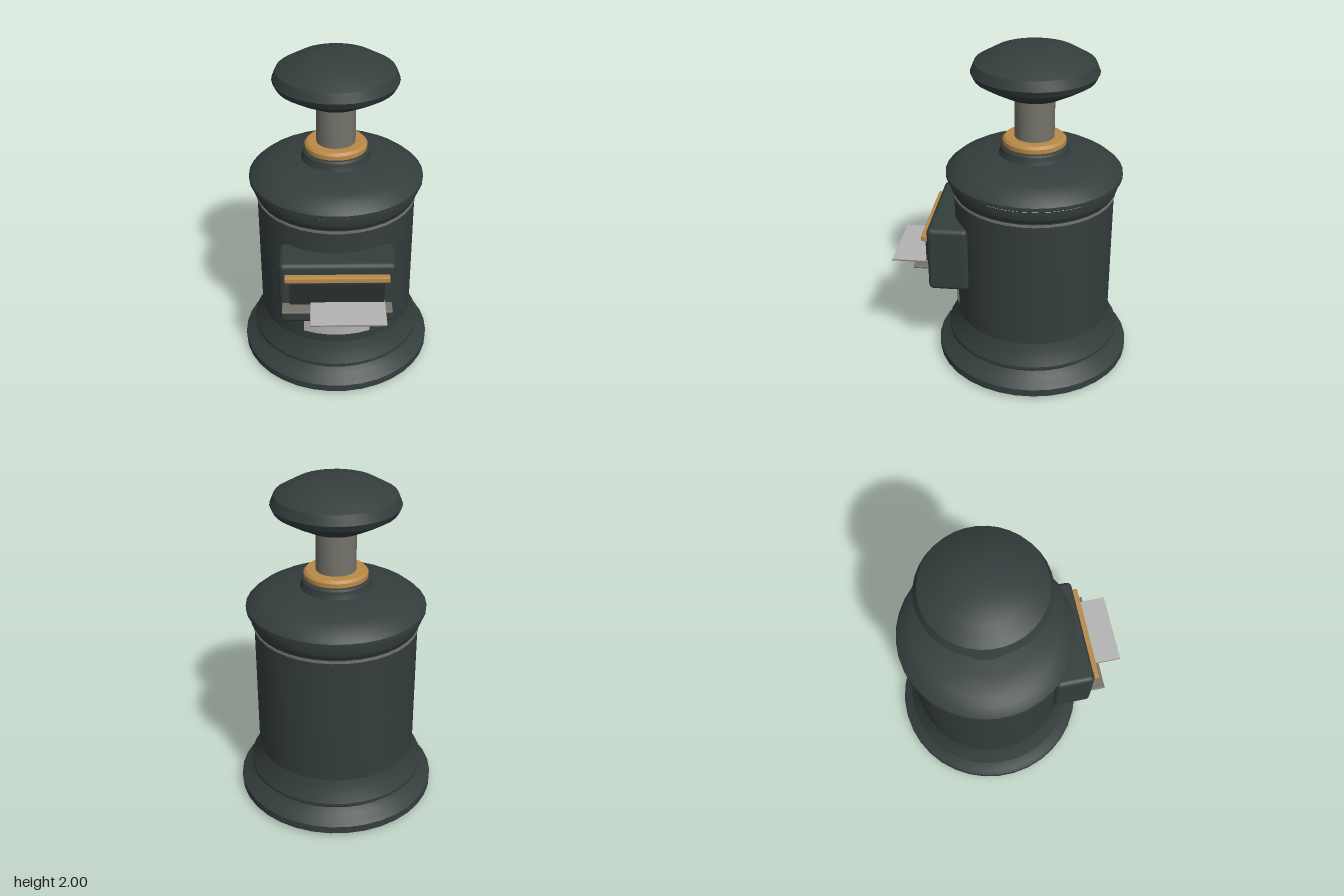
import * as THREE from 'three';
import { toCreasedNormals } from 'three/addons/utils/BufferGeometryUtils.js';
import { RoundedBoxGeometry } from 'three/addons/geometries/RoundedBoxGeometry.js';

const AXIS_Z = -0.115; // centre line of the turned parts
const SEGMENTS = 36;

function material(name, color) {
  const m = new THREE.MeshStandardMaterial({ color });
  m.name = name;
  return m;
}

export function createModel() {
  const group = new THREE.Group();
  const enamel = material('dark enamel', 0x343e3d);
  const slotDark = material('slot dark', 0x272f2f);
  const brass = material('brass', 0xb98a48);
  const steel = material('steel', 0x74736b);
  const paper = material('paper', 0xb4b4b4);
  const card = material('card edge', 0x8a7a5c);

  const add = (name, geometry, mat, x = 0, y = 0, z = 0) => {
    const mesh = new THREE.Mesh(geometry, mat);
    mesh.name = name;
    mesh.position.set(x, y, z);
    group.add(mesh);
    return mesh;
  };
  // Turned part from [radius, height] pairs, bottom to top
  const turned = (name, profile, mat) => {
    const points = profile.map(([r, y]) => new THREE.Vector2(r, y));
    const geometry = new THREE.LatheGeometry(points, SEGMENTS, Math.PI / SEGMENTS);
    return add(name, toCreasedNormals(geometry, 0.5), mat, 0, 0, AXIS_Z);
  };
  // Box given by its limits
  const block = (name, [x0, x1], [y0, y1], [z0, z1], mat, radius = 0) => {
    const size = [x1 - x0, y1 - y0, z1 - z0];
    const geometry = radius ? new RoundedBoxGeometry(...size, 3, radius) : new THREE.BoxGeometry(...size);
    return add(name, geometry, mat, (x0 + x1) / 2, (y0 + y1) / 2, (z0 + z1) / 2);
  };

  // Flared base, drum and domed lid
  turned('base', [[0, 0], [0.575, 0], [0.6, 0.02], [0.6, 0.065], [0.575, 0.088], [0.54, 0.112],
    [0.515, 0.145], [0.535, 0.165], [0.535, 0.185], [0.51, 0.23], [0.492, 0.275], [0.48, 0.315]], enamel);
  turned('drum', [[0.48, 0.315], [0.48, 1.13]], enamel);
  turned('trimRing', [[0.475, 1.108], [0.486, 1.108], [0.486, 1.122], [0.475, 1.122]], steel);
  turned('collar', [[0.48, 1.13], [0.492, 1.145], [0.502, 1.17], [0.505, 1.215]], enamel);
  turned('lid', [[0.48, 1.215], [0.515, 1.222], [0.525, 1.228], [0.525, 1.25], [0.51, 1.266],
    [0.47, 1.298], [0.42, 1.326], [0.31, 1.345], [0.21, 1.358], [0.2, 1.385], [0.198, 1.4], [0.185, 1.41], [0, 1.41]], enamel);

  // Plunger
  turned('brassCollar', [[0, 1.41], [0.175, 1.41], [0.187, 1.42], [0.187, 1.445], [0.172, 1.46], [0, 1.46]], brass);
  turned('plungerShaft', [[0.117, 1.45], [0.117, 1.73]], steel);
  turned('knob', [[0, 1.718], [0.175, 1.718], [0.265, 1.766], [0.35, 1.817], [0.368, 1.855], [0.345, 1.91],
    [0.235, 1.972], [0.12, 1.998], [0, 2]], enamel);

  // Front housing with slot, brass bar and tray
  block('housing', [-0.335, 0.335], [0.565, 0.975], [0.245, 0.488], enamel, 0.03);
  block('brassBar', [-0.3, 0.3], [0.877, 0.912], [0.482, 0.525], brass, 0.006);
  block('slotPlate', [-0.275, 0.272], [0.715, 0.853], [0.482, 0.505], slotDark);
  block('tray', [-0.318, 0.316], [0.699, 0.715], [0.482, 0.575], steel, 0.005);
  block('cardSheet', [-0.155, 0.277], [0.721, 0.727], [0.49, 0.715], card);
  block('cardFace', [-0.153, 0.275], [0.727, 0.73], [0.49, 0.714], paper);

  // Label wrapped around the drum
  const half = 0.427;
  const label = new THREE.CylinderGeometry(0.485, 0.485, 0.12, 5, 1, true, -half, 2 * half);
  add('label', label, paper, 0, 0.436, AXIS_Z);

  return group;
}
